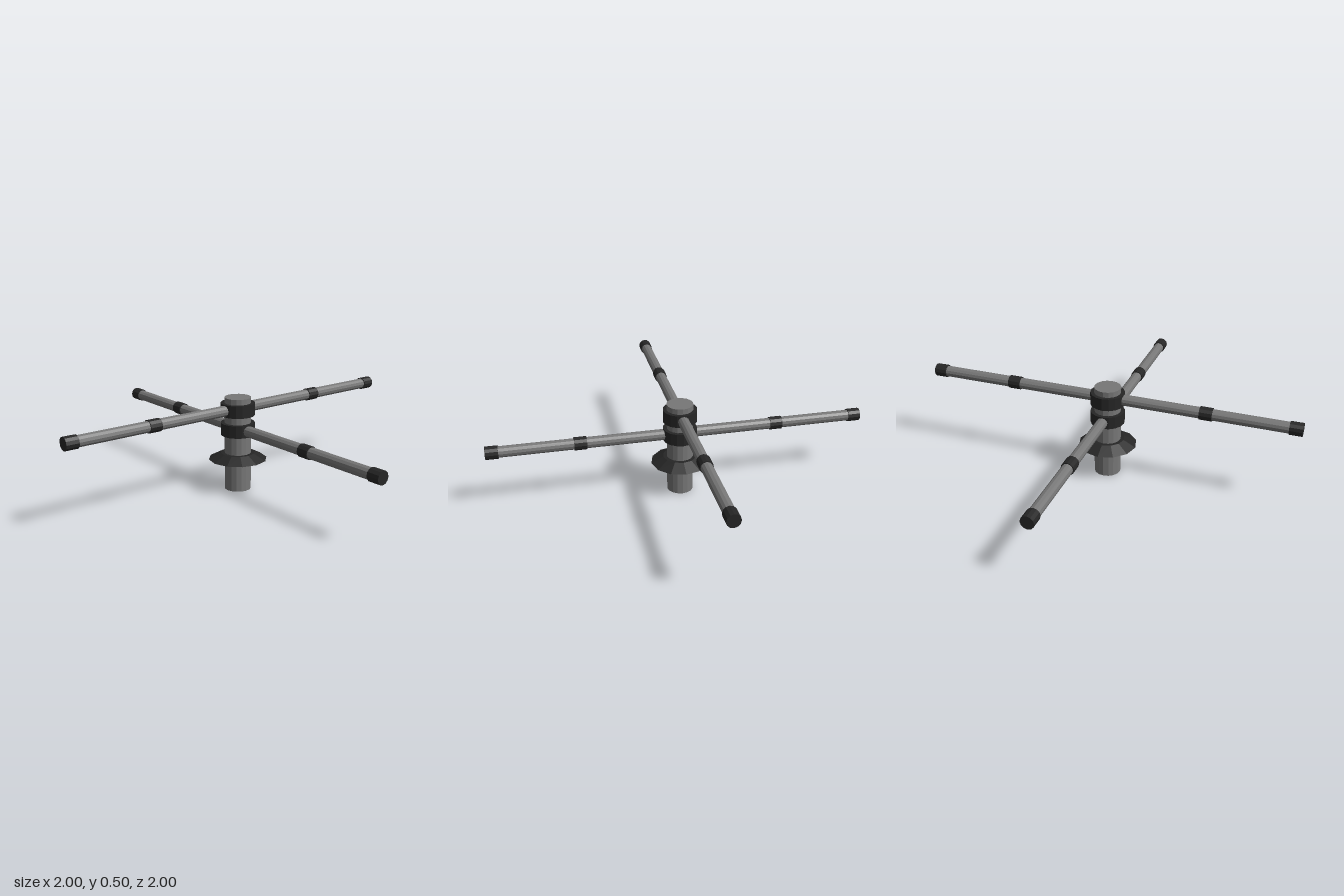
import * as THREE from 'three';

export function createModel() {
  const model = new THREE.Group();
  const grey = new THREE.MeshStandardMaterial({ color: 0x777777, flatShading: true });
  const black = new THREE.MeshStandardMaterial({ color: 0x262626, flatShading: true });

  const cylinder = (parent, name, rTop, rBottom, height, y, sides, material) => {
    const mesh = new THREE.Mesh(new THREE.CylinderGeometry(rTop, rBottom, height, sides), material);
    mesh.name = name;
    mesh.position.y = y;
    parent.add(mesh);
    return mesh;
  };

  // Upright post with a flared skirt near its foot
  cylinder(model, 'post', 0.07, 0.07, 0.5, 0.25, 16, grey);
  cylinder(model, 'skirt', 0.09, 0.155, 0.034, 0.183, 12, black);

  // One arm, built along +y and then laid outwards
  const makeArm = (name) => {
    const arm = new THREE.Group();
    arm.name = name;
    cylinder(arm, 'armTube', 0.029, 0.029, 0.91, 0.525, 12, grey);
    cylinder(arm, 'armJoint', 0.034, 0.034, 0.066, 0.522, 12, black);
    cylinder(arm, 'armEndCap', 0.034, 0.034, 0.066, 0.967, 12, black);
    return arm;
  };

  // Two collars, each carrying a pair of opposite arms
  const tiers = [
    { name: 'upper', y: 0.438, turn: 0 },
    { name: 'lower', y: 0.332, turn: Math.PI / 2 },
  ];
  for (const { name, y, turn } of tiers) {
    const tier = new THREE.Group();
    tier.name = name + 'Tier';
    tier.position.y = y;
    tier.rotation.y = turn;
    cylinder(tier, name + 'Collar', 0.09, 0.09, 0.066, 0, 16, black);
    for (const side of [-1, 1]) {
      const arm = makeArm(name + (side > 0 ? 'ArmA' : 'ArmB'));
      arm.rotation.z = -side * Math.PI / 2;
      tier.add(arm);
    }
    model.add(tier);
  }
  return model;
}
